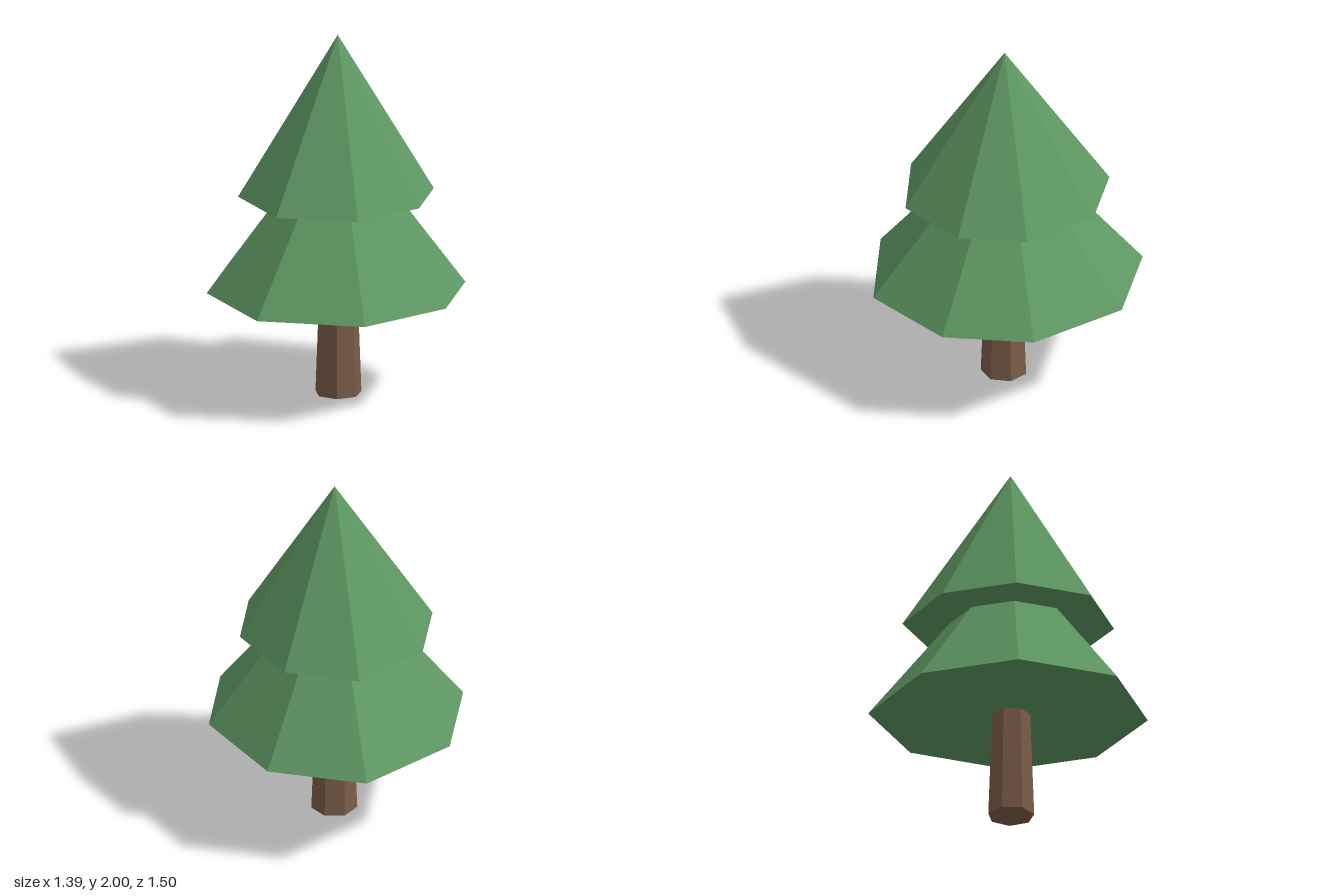
import * as THREE from 'three';

const foliage = new THREE.MeshStandardMaterial({ color: 0x5e9762 });
foliage.name = 'foliageGreen';
foliage.flatShading = true;
const bark = new THREE.MeshStandardMaterial({ color: 0x7a5c48 });
bark.name = 'barkBrown';
bark.flatShading = true;

// Uneven octagonal outline of the lowest branches, as [x, z]
const OUTLINE = [
  [0.035, -0.75], [0.515, -0.495], [0.695, 0.045], [0.51, 0.5],
  [0.03, 0.745], [-0.52, 0.545], [-0.7, 0.01], [-0.49, -0.5],
];
const AXIS = 0.01;

// Closed pyramid over the scaled outline
function tier(name, scale, bottom, top) {
  const apex = [AXIS, top, AXIS];
  const centre = [AXIS, bottom, AXIS];
  const ring = OUTLINE.map(([x, z]) => [x * scale, bottom, z * scale]);
  const points = [];
  ring.forEach((a, i) => {
    const b = ring[(i + 1) % ring.length];
    points.push(...apex, ...b, ...a, ...centre, ...a, ...b);
  });
  const geometry = new THREE.BufferGeometry();
  geometry.setAttribute('position', new THREE.Float32BufferAttribute(points, 3));
  geometry.computeVertexNormals();
  const mesh = new THREE.Mesh(geometry, foliage);
  mesh.name = name;
  return mesh;
}

export function createModel() {
  const tree = new THREE.Group();
  tree.name = 'pineTree';

  // Tapered seven-sided trunk
  const height = 0.62;
  const trunk = new THREE.Mesh(
    new THREE.CylinderGeometry(0.103, 0.126, height, 7, 1, false, Math.PI / 2), bark);
  trunk.name = 'trunk';
  trunk.position.set(0.012, height / 2, 0.012);
  tree.add(trunk);

  // Two overlapping tiers of branches
  tree.add(tier('lowerBranches', 1, 0.592, 1.53));
  tree.add(tier('upperBranches', 0.757, 1.122, 2));
  return tree;
}
